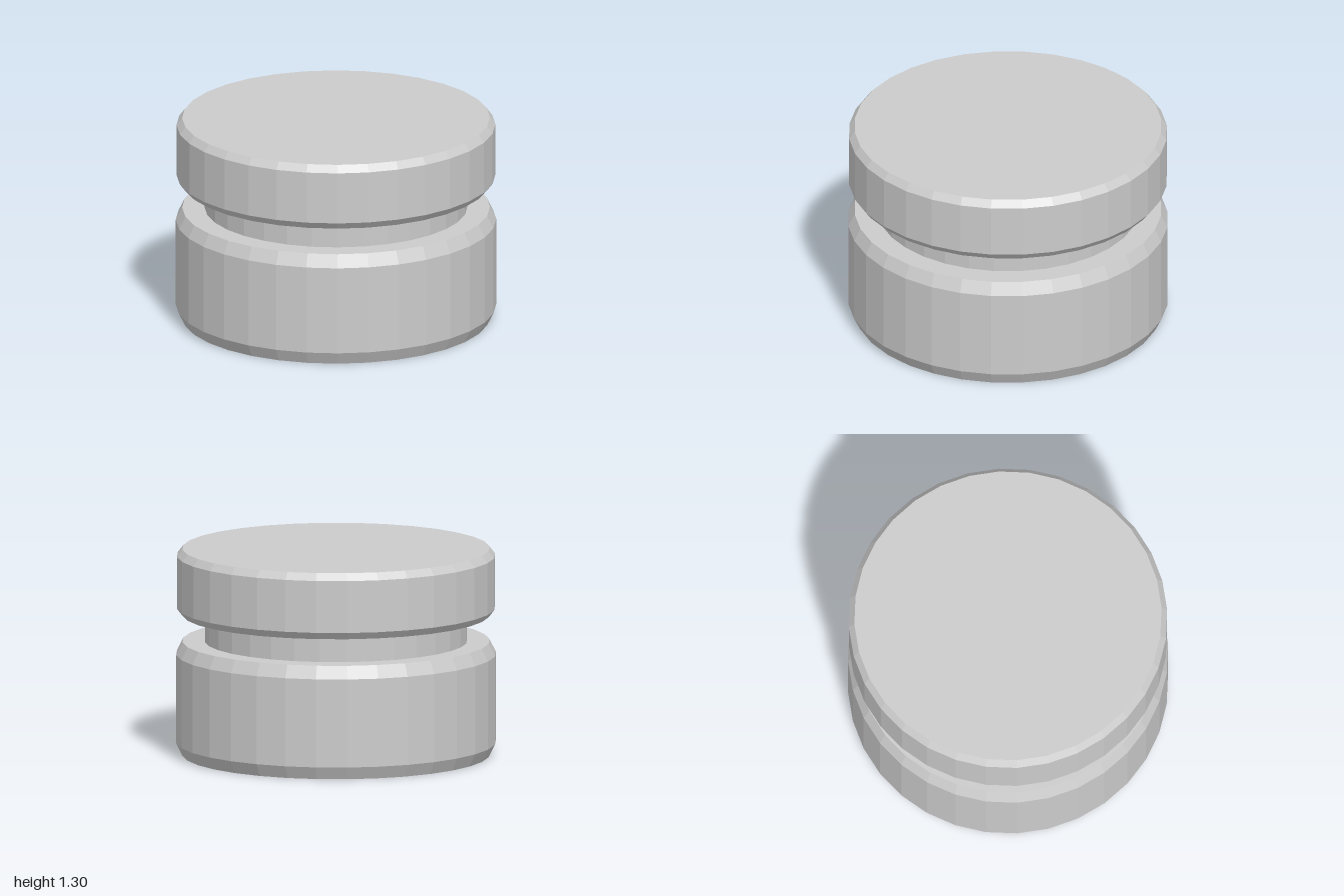
import * as THREE from 'three';

const SIDES = 32;

export function createModel() {
  const group = new THREE.Group();
  const material = new THREE.MeshStandardMaterial({ color: 0xcccccc, flatShading: true });

  // Solid of revolution from [radius, height] points, bottom to top
  const addTurned = (name, profile) => {
    const points = profile.map(([r, y]) => new THREE.Vector2(r, y));
    const mesh = new THREE.Mesh(new THREE.LatheGeometry(points, SIDES), material);
    mesh.name = name;
    group.add(mesh);
  };

  // Drum with a bevel on both rims
  const addDrum = (name, r, rimR, y0, y1, bevelLow, bevelHigh) =>
    addTurned(name, [
      [0, y0], [rimR, y0], [r, y0 + bevelLow],
      [r, y1 - bevelHigh], [rimR, y1], [0, y1],
    ]);

  addDrum('base', 1, 0.96, 0, 0.717, 0.08, 0.08);
  addTurned('neck', [[0, 0.7], [0.82, 0.7], [0.82, 0.9], [0, 0.9]]);
  addDrum('cap', 0.995, 0.96, 0.885, 1.303, 0.045, 0.045);

  return group;
}
